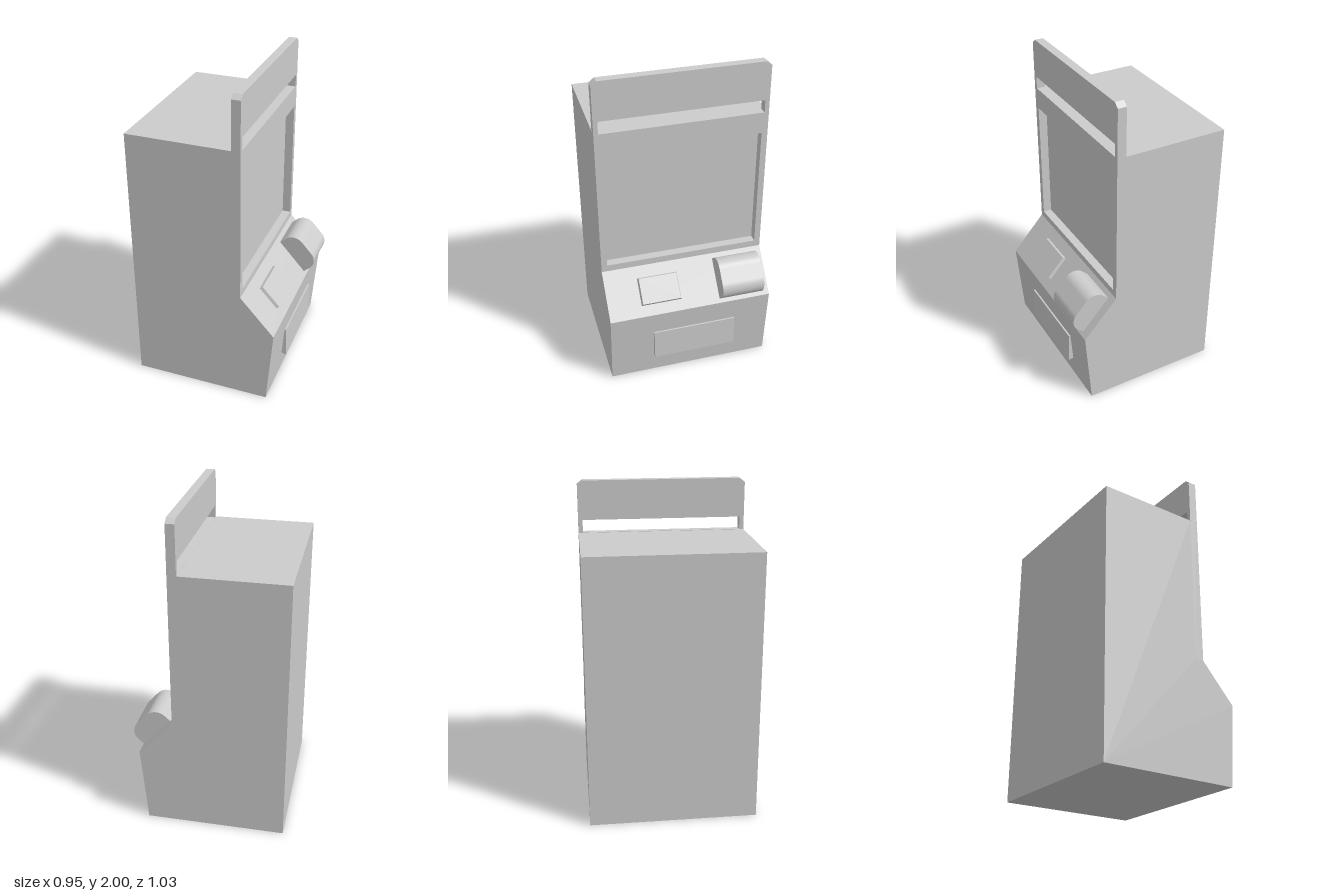
import * as THREE from 'three';

const material = new THREE.MeshStandardMaterial({ color: 0xcccccc, flatShading: true });
const HALF = 0.517; // half of the cabinet's width along z

function mesh(name, geometry) {
  const m = new THREE.Mesh(geometry, material);
  m.name = name;
  return m;
}

const shapeOf = (points) => new THREE.Shape(points.map(([x, y]) => new THREE.Vector2(x, y)));

// Side profile pulled along z from z0 to z1
function prism(shape, z0, z1, curveSegments = 6) {
  const g = new THREE.ExtrudeGeometry(shape, { depth: z1 - z0, bevelEnabled: false, curveSegments });
  return g.translate(0, 0, z0);
}

const rect = (halfW, y0, y1) =>
  new THREE.Path([[-halfW, y0], [-halfW, y1], [halfW, y1], [halfW, y0]].map(([x, y]) => new THREE.Vector2(x, y)));

export function createModel() {
  const model = new THREE.Group();
  model.name = 'arcadeCabinet';

  // Cabinet with sloping console and tapering base
  const body = shapeOf([
    [-0.475, 0], [0.39, 0], [0.43, 0.49], [0.218, 0.727], [0.164, 0.727], [0.164, 1.68], [-0.475, 1.68],
  ]);
  model.add(mesh('cabinetBody', prism(body, -HALF, HALF)));

  // Face panel: recessed screen opening, slot and header with clipped corners
  const face = shapeOf([
    [-HALF, 0.727], [HALF, 0.727], [HALF, 1.975], [HALF - 0.032, 2], [-HALF + 0.032, 2], [-HALF, 1.975],
  ]);
  face.holes.push(rect(0.48, 0.77, 1.55), rect(0.49, 1.682, 1.76));
  const panel = prism(face, 0, 0.054).rotateY(Math.PI / 2).translate(0.164, 0, 0);
  model.add(mesh('facePanel', panel));

  // Console fittings, laid out along the slope (x down the slope, y away from it)
  const fittings = new THREE.Group();
  fittings.name = 'consoleFittings';
  fittings.position.set(0.326, 0.606, 0);
  fittings.rotation.z = -Math.atan2(0.237, 0.212);
  model.add(fittings);

  // Rounded hood
  const w = 0.1285, h = 0.13, r = 0.08;
  const hood = new THREE.Shape();
  hood.moveTo(-w, -0.01);
  hood.lineTo(w, -0.01);
  hood.lineTo(w, h - r);
  hood.absarc(w - r, h - r, r, 0, Math.PI / 2, false);
  hood.lineTo(-w + r, h);
  hood.absarc(-w + r, h - r, r, Math.PI / 2, Math.PI, false);
  hood.closePath();
  fittings.add(mesh('roundedHood', prism(hood, -0.46, -0.19)));

  // Button plate: a low box narrowed towards its top
  const plate = new THREE.BoxGeometry(0.175, 0.024, 0.26);
  const p = plate.attributes.position;
  for (let i = 0; i < p.count; i++) {
    if (p.getY(i) > 0) p.setXYZ(i, p.getX(i) * 0.92, p.getY(i), p.getZ(i) * 0.93);
  }
  plate.computeVertexNormals();
  const plateMesh = mesh('buttonPlate', plate);
  plateMesh.position.set(0, 0.007, 0.18);
  fittings.add(plateMesh);

  // Wedge-shaped door on the lower front
  const door = shapeOf([[0.39, 0.15], [0.433, 0.14], [0.428, 0.34], [0.405, 0.34]]);
  model.add(mesh('lowerDoor', prism(door, -0.29, 0.24)));

  return model;
}
